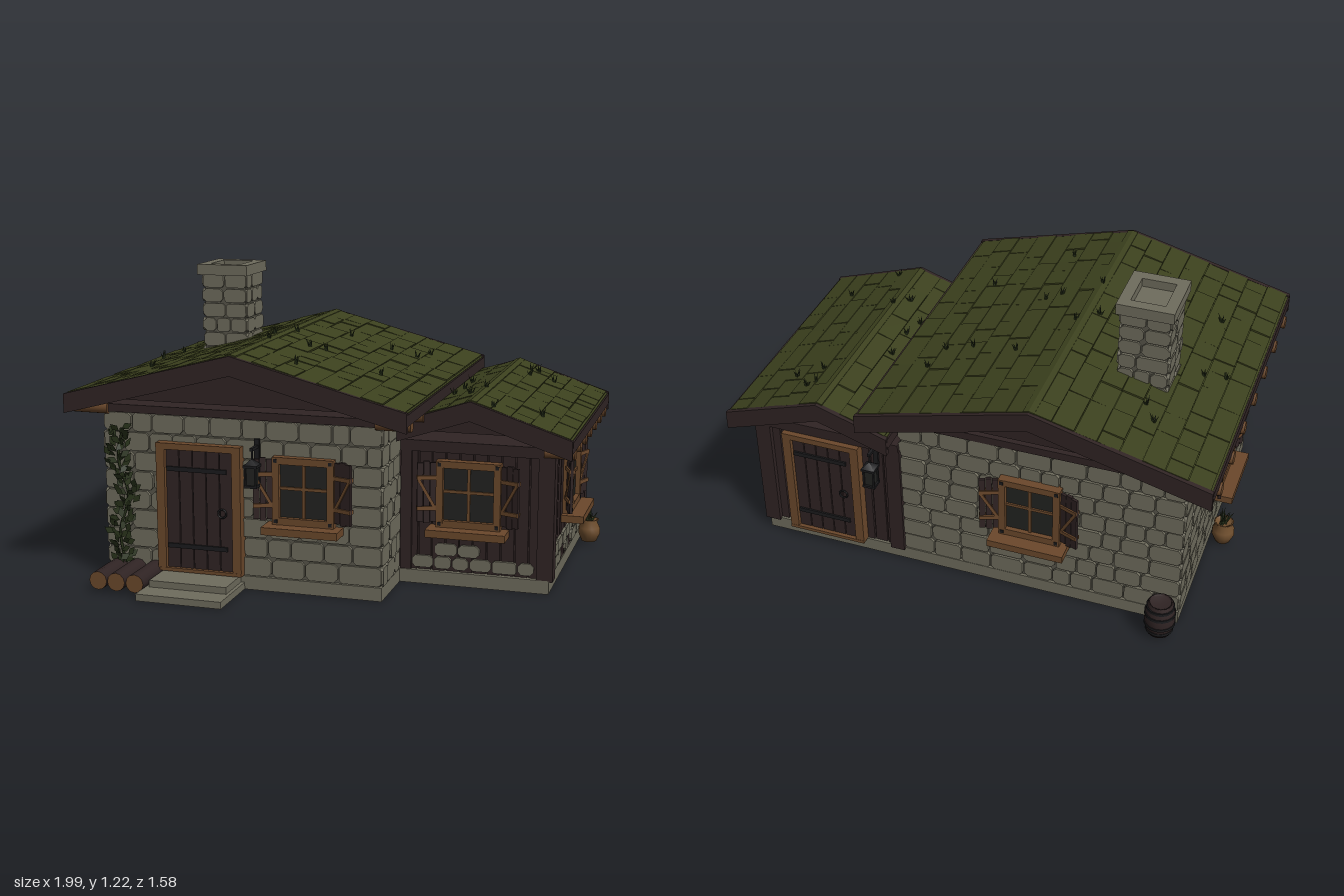
import * as THREE from 'three';
import { mergeGeometries } from 'three/addons/utils/BufferGeometryUtils.js';

const mat = (name, color, side = THREE.FrontSide) => {
  const m = new THREE.MeshStandardMaterial({ color, side });
  m.name = name;
  return m;
};
const stone = mat('stone', 0x6f6c5d), mortar = mat('mortar', 0x57554a), moss = mat('moss', 0x3c411e);
const dark = mat('darkWood', 0x302424), timber = mat('timber', 0x6b482b), glass = mat('glass', 0x222321);
const iron = mat('iron', 0x1b1b1d), leaf = mat('leaf', 0x28321a, THREE.DoubleSide), clay = mat('clay', 0x71502f);

export function createModel() {
  const root = new THREE.Group();
  root.name = 'cottage';
  let seed = 7;
  const rnd = (a = 0, b = 1) => {
    seed = (seed * 16807) % 2147483647;
    return a + (b - a) * (seed / 2147483647);
  };

  // Helpers: placed box, merged mesh, placed group
  const box = (w, h, d, x = 0, y = 0, z = 0, rz = 0) =>
    new THREE.BoxGeometry(w, h, d).rotateZ(rz).translate(x, y, z);
  const span = (x0, x1, y0, y1, z0, z1) =>
    box(x1 - x0, y1 - y0, z1 - z0, (x0 + x1) / 2, (y0 + y1) / 2, (z0 + z1) / 2);
  const add = (parent, name, geos, material) => {
    const list = [geos].flat();
    const m = new THREE.Mesh(list.length > 1 ? mergeGeometries(list.map(g => g.index ? g.toNonIndexed() : g)) : list[0], material);
    m.name = name;
    parent.add(m);
    return m;
  };
  const group = (name, x, y, z, ry = 0) => {
    const g = new THREE.Group();
    g.name = name;
    g.position.set(x, y, z);
    g.rotation.y = ry;
    root.add(g);
    return g;
  };
  const extrude = (pts, depth, z) => new THREE.ExtrudeGeometry(
    new THREE.Shape(pts.map(p => new THREE.Vector2(...p))), { depth, bevelEnabled: false }).translate(0, 0, z);
  const FRONT = 0, RIGHT = Math.PI / 2, BACK = Math.PI, LEFT = -Math.PI / 2;

  // Courses of cut-cornered stones on a wall plane, starting at its bottom centre
  function stones(name, x, y, z, ry, width, height, rowH = 0.075, size = 0.11, keep = 1) {
    const geos = [], rows = Math.round(height / rowH), h = height / rows;
    for (let r = 0; r < rows; r++) {
      let a = -width / 2;
      while (a < width / 2 - 0.001) {
        let b = a + size * rnd(0.65, 1.3);
        if (b > width / 2 - size * 0.5) b = width / 2;
        const x0 = a + 0.003, x1 = b - 0.003, y0 = r * h + 0.003, y1 = r * h + h - 0.003, c = rnd(0.008, 0.016);
        if (rnd() < keep) geos.push(extrude([[x0 + c, y0], [x1 - c, y0], [x1, y0 + c], [x1, y1 - c],
          [x1 - c, y1], [x0 + c, y1], [x0, y1 - c], [x0, y0 + c]], rnd(0.009, 0.015), 0));
        a = b;
      }
    }
    add(group(name, x, y, z, ry), name + 'Blocks', geos, stone);
  }

  // Foundation and steps
  add(root, 'foundation', [span(-0.875, 0.285, 0, 0.055, -0.655, 0.525), span(0.285, 0.89, 0, 0.055, -0.655, 0.25)], stone);
  add(root, 'steps', [span(-0.635, -0.28, 0, 0.028, 0.5, 0.787), span(-0.62, -0.295, 0.02, 0.055, 0.5, 0.69)], stone);

  // Main house walls
  add(root, 'mainWalls', span(-0.865, 0.275, 0.05, 0.7, -0.643, 0.51), mortar);
  stones('frontStones', -0.295, 0.055, 0.51, FRONT, 1.16, 0.635);
  stones('backStones', -0.295, 0.055, -0.643, BACK, 1.16, 0.635);
  stones('leftStones', -0.865, 0.055, -0.066, LEFT, 1.17, 0.635);
  stones('rightStones', 0.275, 0.055, 0.385, RIGHT, 0.27, 0.635);
  add(root, 'mainWallPlate', span(-0.88, 0.29, 0.69, 0.722, -0.66, 0.53), dark);

  // Annex walls: upright planks, corner posts, wall plate and a patchy stone skirt
  add(root, 'annexCore', span(0.27, 0.875, 0.05, 0.56, -0.635, 0.22), dark);
  function planks(name, x, z, ry, width) {
    const geos = [], n = Math.round(width / 0.058), w = width / n;
    for (let i = 0; i < n; i++) geos.push(box(w - 0.006, 0.49, rnd(0.016, 0.026), -width / 2 + w * (i + 0.5), 0.3, 0));
    add(group(name, x, 0, z, ry), name + 'Boards', geos, dark);
  }
  planks('annexFront', 0.58, 0.22, FRONT, 0.56);
  planks('annexRight', 0.875, -0.205, RIGHT, 0.84);
  planks('annexBack', 0.58, -0.635, BACK, 0.56);
  add(root, 'cornerPosts', [span(0.84, 0.905, 0.05, 0.56, 0.185, 0.25), span(0.84, 0.905, 0.05, 0.56, -0.665, -0.6),
    span(0.285, 0.33, 0.05, 0.56, 0.2, 0.245), span(0.275, 0.335, 0.05, 0.56, -0.668, -0.62)], dark);
  add(root, 'annexWallPlate', span(0.28, 0.905, 0.545, 0.59, -0.668, 0.25), dark);
  stones('annexFrontSkirt', 0.58, 0.062, 0.228, FRONT, 0.5, 0.11, 0.055, 0.1, 0.75);
  stones('annexRightSkirt', 0.883, 0.062, -0.21, RIGHT, 0.77, 0.11, 0.055, 0.1, 0.75);

  // Gabled roof: mossy chevron, uneven turf tiles, barge boards, fascias and ridge
  const tufts = [];
  function roof(name, cx, ry, L, R, s, z0, z1, points) {
    const g = group(name, cx, 0, 0), ang = Math.atan(s), tiles = [];
    const chevron = (top, t, l, r) => [[-l, top - s * l], [-l, top - s * l - t], [0, top - t], [r, top - s * r - t], [r, top - s * r], [0, top]];
    add(g, 'turf', extrude(chevron(ry - 0.01, 0.03, L - 0.006, R - 0.006), z1 - z0 - 0.03, z0 + 0.015), moss);
    for (const [side, len] of [[-1, L], [1, R]]) {
      const rows = Math.round(len / 0.085), step = (len - 0.012) / rows;
      for (let i = 0; i < rows; i++) {
        const d = step * (i + 0.5);
        for (let a = z0 + 0.015; a < z1 - 0.016;) {
          let b = a + rnd(0.07, 0.22);
          if (b > z1 - 0.08) b = z1 - 0.015;
          tiles.push(box(step / Math.cos(ang) - 0.002, 0.01, b - a - 0.003, side * d, ry - 0.011 - s * d + rnd(0, 0.006), (a + b) / 2, -side * (ang + rnd(-0.02, 0.03))));
          a = b;
        }
      }
    }
    add(g, 'turfTiles', tiles, moss);
    add(g, 'ridgeCap', extrude(chevron(ry + 0.001, 0.01, 0.022, 0.022), z1 - z0 - 0.03, z0 + 0.015), moss);
    add(g, 'bargeBoards', [z0, z1 - 0.02].map(z => extrude(chevron(ry - 0.004, 0.078, L, R), 0.02, z)), dark);
    add(g, 'fascias', [[-1, L], [1, R]].map(([k, l]) => box(0.014, 0.045, z1 - z0 - 0.02, k * (l - 0.006), ry - s * l - 0.034, (z0 + z1) / 2)), dark);
    for (const [x, z] of points) tufts.push([x, ry - 0.01 - s * Math.abs(x - cx), z]);
  }
  roof('mainRoof', -0.29, 0.96, 0.7, 0.7, 0.26, -0.768, 0.64,
    [[-0.7, -0.52], [-0.65, -0.44], [-0.88, -0.1], [-0.8, -0.14], [-0.78, 0.25], [-0.09, -0.32], [0.24, -0.43], [0.21, -0.3],
      [0.1, -0.29], [-0.14, 0.1], [-0.08, 0.07], [0.19, 0.2], [-0.09, 0.43], [-0.29, 0.18], [-0.26, -0.1], [-0.34, -0.03]]);
  roof('annexRoof', 0.58, 0.775, 0.29, 0.4, 0.33, -0.748, 0.33,
    [[0.66, -0.57], [0.69, -0.6], [0.67, -0.48], [0.77, -0.52], [0.46, -0.28], [0.46, -0.13], [0.44, -0.03], [0.58, 0.02],
      [0.53, 0.08], [0.83, 0.13], [0.66, 0.27]]);
  const blade = (h, r, tilt, turn, x, y, z) =>
    new THREE.ConeGeometry(r, h, 3).translate(0, h / 2, 0).rotateZ(tilt).rotateY(turn).translate(x, y, z);
  add(root, 'roofGrass', tufts.flatMap(([x, y, z]) => [0, 1, 2, 3, 4].map(i =>
    blade(rnd(0.03, 0.05), 0.006, rnd(0.1, 0.6), i * 1.3, x, y, z))), leaf);

  // Gable infill boards
  const mainGable = [[-0.87, 0.74], [0.29, 0.74], [0.29, 0.775], [-0.29, 0.925], [-0.87, 0.775]];
  const annexGable = [[0.3, 0.625], [0.88, 0.625], [0.88, 0.645], [0.58, 0.74], [0.3, 0.65]];
  add(root, 'gables', [extrude(mainGable, 0.02, 0.5), extrude(mainGable, 0.02, -0.66),
    extrude(annexGable, 0.02, 0.215), extrude(annexGable, 0.02, -0.66)], dark);

  // Rafter log ends under the eaves
  const logX = (x0, x1, y, z) => new THREE.CylinderGeometry(0.026, 0.026, x1 - x0, 12).rotateZ(Math.PI / 2).translate((x0 + x1) / 2, y, z);
  const rafters = [];
  for (let i = 0; i < 7; i++) {
    const z = 0.52 - i * 0.194;
    rafters.push(logX(-1, -0.85, 0.705, z), logX(0.26, 0.4, 0.705, z), logX(0.86, 0.98, 0.572, 0.235 - i * 0.1465));
  }
  add(root, 'rafterEnds', rafters, timber);

  // Chimney with hollow cap
  add(root, 'chimneyCore', span(-0.692, -0.508, 0.78, 1.15, -0.317, -0.133), mortar);
  [[FRONT, 0, 1], [RIGHT, 1, 0], [BACK, 0, -1], [LEFT, -1, 0]].forEach(([r, dx, dz]) =>
    stones('chimneyStones', -0.6 + dx * 0.09, 0.8, -0.225 + dz * 0.09, r, 0.2, 0.38, 0.063, 0.09));
  add(root, 'chimneyCap', [span(-0.715, -0.49, 1.175, 1.22, -0.35, -0.305), span(-0.715, -0.49, 1.175, 1.22, -0.145, -0.1),
    span(-0.715, -0.67, 1.175, 1.22, -0.305, -0.145), span(-0.535, -0.49, 1.175, 1.22, -0.305, -0.145),
    span(-0.68, -0.52, 1.14, 1.185, -0.31, -0.14)], stone);

  // Window with mullions, sill and braced shutters
  function windowAt(x, y, z, ry, w = 0.25, h = 0.27) {
    const g = group('window', x, y, z, ry), f = 0.028;
    add(g, 'pane', box(w - f, h - f, 0.012, 0, 0, 0.015), glass);
    add(g, 'frame', [box(w, f, 0.04, 0, h / 2 - f / 2, 0.02), box(w, f, 0.04, 0, f / 2 - h / 2, 0.02),
      box(f, h, 0.042, w / 2 - f / 2, 0, 0.02), box(f, h, 0.042, f / 2 - w / 2, 0, 0.02),
      box(0.012, h, 0.02, 0, 0, 0.018), box(w, 0.012, 0.02, 0, 0.01, 0.018)], timber);
    add(g, 'sill', box(w + 0.06, 0.03, 0.1, 0, -h / 2 - 0.015, 0.045), timber);
    add(g, 'cornerIrons', [-1, 1].flatMap(a => [-1, 1].map(b => box(0.014, 0.014, 0.004, a * (w / 2 - f / 2), b * (h / 2 - f / 2), 0.042))), iron);
    for (const s of [-1, 1]) {
      const sh = new THREE.Group();
      sh.name = 'shutter';
      sh.position.set(s * (w / 2 + 0.002), 0, 0.024);
      sh.rotation.y = -s * 0.35;
      g.add(sh);
      add(sh, 'shutterBoards', [0, 1, 2].map(i => box(0.024, h - 0.03 + 0.012 * (i % 2), 0.012, s * (0.013 + i * 0.026), 0.005, 0)), dark);
      add(sh, 'shutterBraces', [-1, 1].flatMap(k => [box(0.076, 0.016, 0.007, s * 0.04, 0.065, k * 0.009),
        box(0.076, 0.016, 0.007, s * 0.04, -0.06, k * 0.009), box(0.128, 0.012, 0.007, s * 0.04, 0.002, k * 0.008, s * 1.06)]), timber);
    }
  }
  windowAt(-0.025, 0.42, 0.515, FRONT);
  windowAt(0.565, 0.38, 0.228, FRONT, 0.26);
  windowAt(0.883, 0.375, -0.21, RIGHT, 0.26, 0.26);
  windowAt(-0.27, 0.42, -0.65, BACK);
  windowAt(-0.872, 0.43, -0.04, LEFT);

  // Plank door with iron straps and ring
  function doorAt(x, y, z, ry, w, h) {
    const g = group('door', x, y, z, ry), f = 0.036, n = 5, p = (w - 2 * f) / n;
    add(g, 'doorFrame', [box(f, h, 0.05, f / 2 - w / 2, h / 2, 0.02), box(f, h, 0.05, w / 2 - f / 2, h / 2, 0.02),
      box(w, f * 0.7, 0.05, 0, h - f * 0.35, 0.021), box(w, 0.014, 0.05, 0, 0.007, 0.021)], timber);
    add(g, 'doorBoards', Array.from({ length: n }, (_, i) => box(p - 0.004, h - f, 0.02, -w / 2 + f + p * (i + 0.5), h / 2 - 0.005, 0.02)), dark);
    add(g, 'doorBacking', box(w - f, h - f, 0.012, 0, h / 2, 0.015), iron);
    add(g, 'hinges', [0.2, 0.8].map(k => box(w - 2 * f - 0.03, 0.018, 0.008, -0.01, h * k, 0.033)), iron);
    add(g, 'ring', new THREE.TorusGeometry(0.017, 0.004, 6, 14).translate(w / 2 - 0.08, h * 0.48, 0.036), iron);
  }
  doorAt(-0.458, 0.058, 0.515, FRONT, 0.355, 0.525);
  doorAt(0.61, 0.055, -0.645, BACK, 0.33, 0.49);

  // Hanging lantern on a bracket
  function lanternAt(x, y, z, ry) {
    const g = group('lantern', x, y, z, ry);
    add(g, 'lanternFrame', [box(0.02, 0.12, 0.012, 0, 0.07, 0.012), box(0.012, 0.012, 0.075, 0, 0.1, 0.04), box(0.006, 0.04, 0.006, 0, 0.08, 0.07),
      box(0.052, 0.01, 0.052, 0, -0.045, 0.07), box(0.056, 0.01, 0.056, 0, 0.035, 0.07),
      new THREE.ConeGeometry(0.036, 0.025, 4).rotateY(Math.PI / 4).translate(0, 0.052, 0.07),
      ...[-1, 1].flatMap(a => [-1, 1].map(b => box(0.007, 0.08, 0.007, a * 0.021, -0.005, 0.07 + b * 0.021)))], iron);
    add(g, 'lanternGlass', box(0.036, 0.076, 0.036, 0, -0.005, 0.07), glass);
  }
  lanternAt(-0.22, 0.487, 0.515, FRONT);
  lanternAt(0.38, 0.457, -0.645, BACK);

  // Firewood
  for (const x of [-0.818, -0.741, -0.662]) {
    add(root, 'firewoodLog', new THREE.CylinderGeometry(0.037, 0.037, 0.22, 12).rotateX(Math.PI / 2).translate(x, 0.05, 0.625), [dark, timber, timber]);
  }

  // Potted plants
  for (const [x, z] of [[-0.932, -0.13], [0.942, -0.515]]) {
    const g = group('pottedPlant', x, 0, z);
    const profile = [[0, 0.015], [0.032, 0.015], [0.047, 0.05], [0.046, 0.075], [0.034, 0.1], [0.041, 0.112], [0.033, 0.112], [0.03, 0.1], [0, 0.1]];
    add(g, 'pot', new THREE.LatheGeometry(profile.map(p => new THREE.Vector2(...p)), 16), clay);
    add(g, 'plant', Array.from({ length: 14 }, (_, i) => blade(rnd(0.04, 0.085), 0.007, rnd(0.05, 0.6), i * 1.1, rnd(-0.012, 0.012), 0.1, rnd(-0.012, 0.012))), leaf);
  }

  // Barrel
  const barrel = group('barrel', -0.82, 0, -0.727);
  add(barrel, 'barrelStaves', new THREE.LatheGeometry([[0, 0.015], [0.048, 0.015], [0.058, 0.055], [0.061, 0.088], [0.058, 0.12],
    [0.048, 0.162], [0.042, 0.162], [0.042, 0.152], [0, 0.152]].map(p => new THREE.Vector2(...p)), 16), dark);
  add(barrel, 'barrelHoops', [[0.035, 0.056], [0.065, 0.062], [0.112, 0.062], [0.142, 0.056]].map(([y, r]) =>
    new THREE.CylinderGeometry(r, r, 0.012, 16).translate(0, y, 0)), iron);

  // Climbing ivy on the front corner
  const stem = new THREE.CatmullRomCurve3([[-0.79, 0.06], [-0.81, 0.2], [-0.77, 0.35], [-0.81, 0.5], [-0.79, 0.62]].map(([x, y]) => new THREE.Vector3(x, y, 0.532)));
  const ivy = [new THREE.TubeGeometry(stem, 20, 0.006, 5)];
  for (let i = 0; i < 90; i++) {
    const p = stem.getPoint(i / 89);
    ivy.push(new THREE.CircleGeometry(0.024, 4).scale(1, 0.6, 1).rotateX(rnd(-0.5, 0.5)).rotateY(rnd(-0.6, 0.6)).rotateZ((i % 2 ? 0.8 : 2.3) + rnd(-0.4, 0.4))
      .translate(p.x + (i % 2 ? 1 : -1) * rnd(0.008, 0.045), p.y + rnd(0, 0.02), rnd(0.535, 0.555)));
  }
  add(root, 'ivy', ivy, leaf);
  return root;
}
